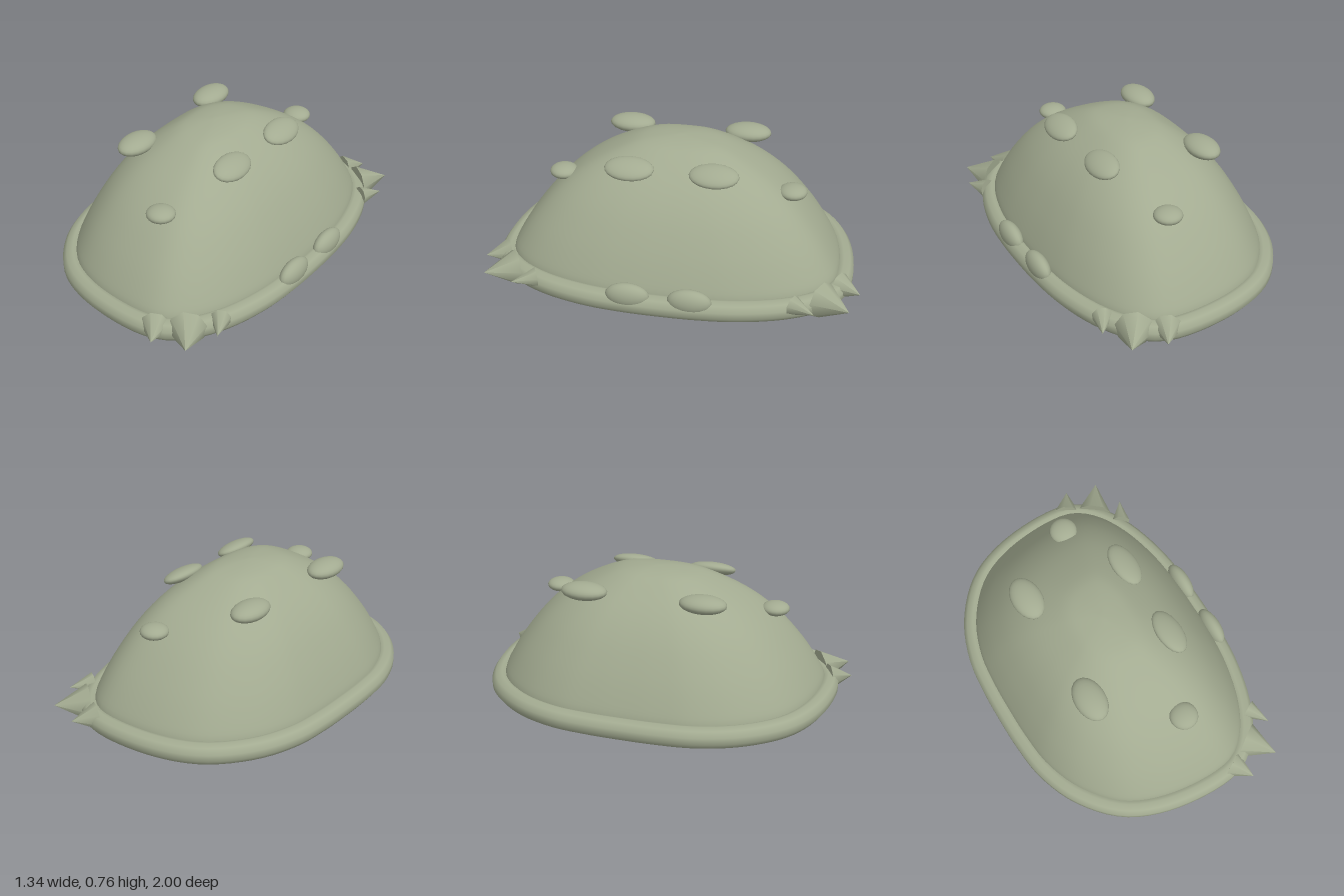
import * as THREE from 'three';

// Rim outline (x, z) for one half, from the left edge round to the right edge
const HALF = [[-0.67, 0], [-0.665, 0.2], [-0.64, 0.4], [-0.55, 0.62], [-0.37, 0.82], [-0.14, 0.92],
  [0.19, 0.955], [0.35, 0.925], [0.47, 0.83], [0.57, 0.66], [0.64, 0.42], [0.665, 0.2], [0.67, 0]];

function outline(sx, sz, y, count) {
  const all = [...HALF, ...HALF.slice(1, -1).reverse().map(([x, z]) => [x, -z])];
  const curve = new THREE.CatmullRomCurve3(all.map(([x, z]) => new THREE.Vector3(x * sx, y, z * sz)), true);
  return count ? curve.getSpacedPoints(count).slice(0, count) : curve;
}

// Dome: the outline shrunk along a rounded height profile
function domeGeometry() {
  const profile = new THREE.SplineCurve([[1, 0.03], [0.995, 0.12], [0.965, 0.19], [0.86, 0.335], [0.71, 0.49],
    [0.53, 0.615], [0.3, 0.718], [0.15, 0.75], [0, 0.76]].map(([r, y]) => new THREE.Vector2(r, y)));
  const N = 96, M = 32, base = outline(0.9, 0.925, 0, N);
  const pos = [], index = [];
  for (let j = 0; j < M; j++) {
    const p = profile.getPoint(j / M);
    base.forEach((b) => pos.push(b.x * p.x, p.y, b.z * p.x));
  }
  pos.push(0, 0.76, 0);
  for (let j = 0; j < M; j++) {
    for (let i = 0; i < N; i++) {
      const k = (i + 1) % N, a = j * N + i, b = j * N + k;
      if (j === M - 1) index.push(a, b, M * N);
      else index.push(a, b, b + N, a, b + N, a + N);
    }
  }
  const g = new THREE.BufferGeometry();
  g.setAttribute('position', new THREE.Float32BufferAttribute(pos, 3));
  g.setIndex(index);
  g.computeVertexNormals();
  return g;
}

export function createModel() {
  const group = new THREE.Group();
  const shell = new THREE.MeshStandardMaterial({ color: 0xa3ab91, side: THREE.DoubleSide });
  shell.name = 'sage shell';
  const add = (name, geometry) => {
    const mesh = new THREE.Mesh(geometry, shell);
    mesh.name = name;
    group.add(mesh);
    return mesh;
  };

  add('dome', domeGeometry());

  // Rolled rim around the base
  add('rim', new THREE.TubeGeometry(outline(0.915, 0.94, 0.086), 96, 0.057, 10, true));

  // Flat underside with an open middle
  const flat = (s, t) => outline(s, t, 0, 96).map((p) => new THREE.Vector2(p.x, p.z));
  const plate = new THREE.Shape(flat(0.9, 0.925));
  plate.holes.push(new THREE.Path(flat(0.56, 0.575)));
  const under = add('underside', new THREE.ShapeGeometry(plate));
  under.rotation.x = Math.PI / 2;
  under.position.y = 0.03;

  // Warts: name, centre, radii, tilt about z
  const warts = [
    ['leftTopWart', [0.27, 0.67, 0.22], [0.078, 0.036, 0.13], -0.4],
    ['rightTopWart', [-0.265, 0.665, 0.32], [0.082, 0.046, 0.125], 0],
    ['endWart', [0.12, 0.54, 0.61], [0.075, 0.037, 0.075], 0],
    ['rimWart', [0.622, 0.135, 0.16], [0.048, 0.068, 0.115], 0],
  ];
  // Spikes: name, base centre, tip, base radius
  const spikes = [
    ['innerSpike', [0.29, 0.108, 0.885], [0.355, 0.104, 1], 0.073],
    ['largeSpike', [0.43, 0.1, 0.81], [0.53, 0.11, 0.955], 0.098],
    ['outerSpike', [0.53, 0.12, 0.67], [0.593, 0.115, 0.785], 0.053],
  ];
  const up = new THREE.Vector3(0, 1, 0);
  for (const side of [1, -1]) {
    for (const [name, c, r, tilt] of warts) {
      const wart = add(name, new THREE.SphereGeometry(1, 20, 14));
      wart.position.set(c[0], c[1], c[2] * side);
      wart.scale.set(...r);
      wart.rotation.z = tilt;
    }
    for (const [name, b, t, r] of spikes) {
      const base = new THREE.Vector3(b[0], b[1], b[2] * side);
      const tip = new THREE.Vector3(t[0], t[1], t[2] * side);
      const spike = add(name, new THREE.ConeGeometry(r, base.distanceTo(tip), 8));
      spike.position.copy(base).lerp(tip, 0.5);
      spike.quaternion.setFromUnitVectors(up, tip.sub(base).normalize());
    }
  }
  return group;
}
